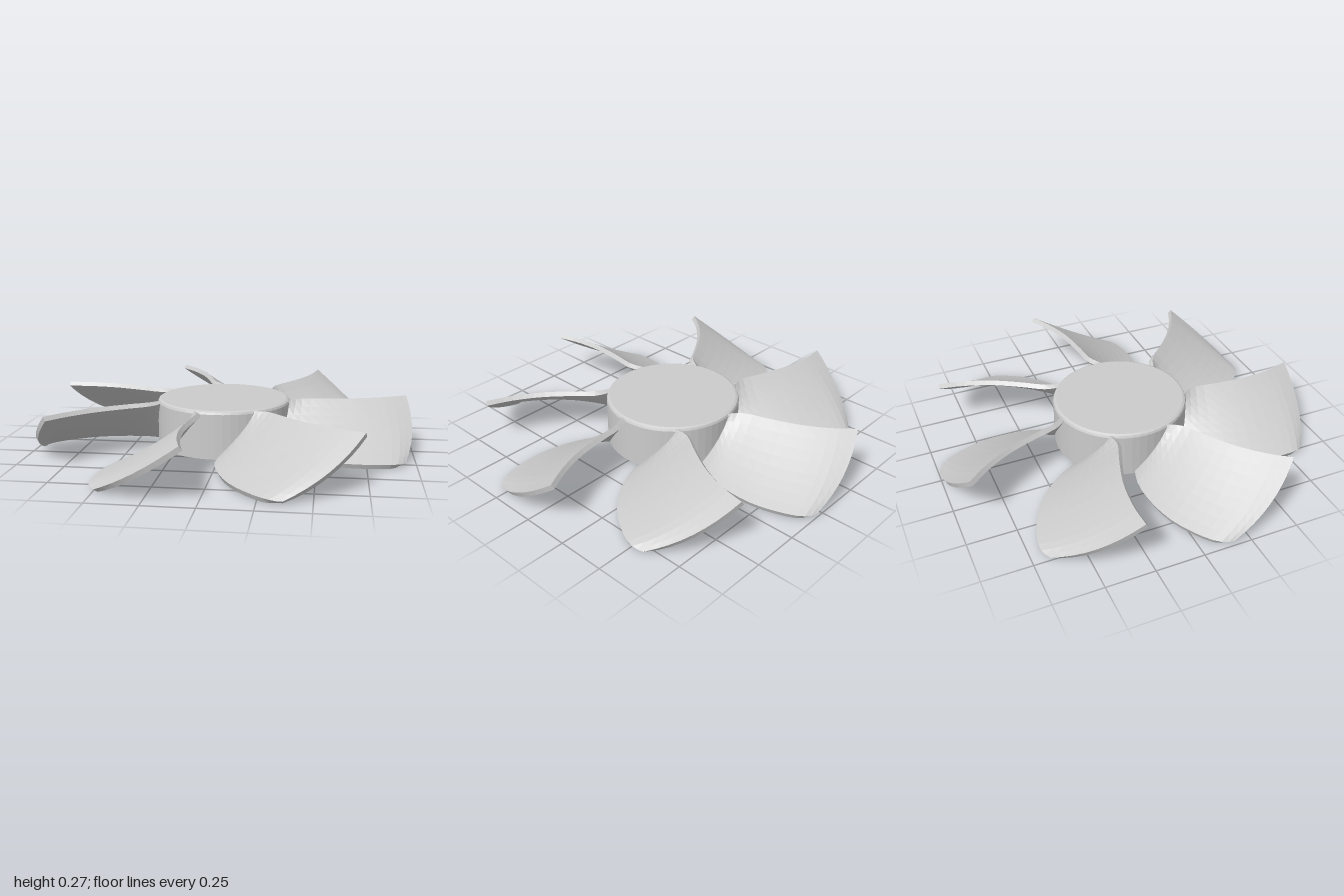
import * as THREE from 'three';

const BLADES = 7, SPAN = 14, CHORD = 8, THICK = 0.026, TOP = 0.275;

// Plan outlines (x outward, z across) of the raised and lowered blade edges
const plan = pts => new THREE.CatmullRomCurve3(pts.map(([x, z]) => new THREE.Vector3(x, 0, z)));
const highEdge = plan([[0.33, 0.03], [0.41, -0.015], [0.55, -0.03], [0.71, -0.055], [0.86, -0.105], [0.975, -0.165]]);
const lowEdge = plan([[0.27, 0.18], [0.37, 0.27], [0.5, 0.33], [0.65, 0.363], [0.8, 0.355], [0.9, 0.325], [0.945, 0.27]]);

// Middle surface of a blade: u runs root to tip, v from high edge to low edge
function surface(u, v) {
  const p = highEdge.getPoint(u).lerp(lowEdge.getPoint(u), v);
  const bow = 4 * v * (1 - v);
  p.x += 0.035 * bow * u * u;
  p.y = THREE.MathUtils.lerp(0.265, 0.03 - 0.016 * u, v) - 0.018 * bow;
  return p;
}

function surfaceNormal(u, v) {
  const e = 0.01;
  const u0 = Math.max(u - e, 0), u1 = Math.min(u + e, 1);
  const v0 = Math.max(v - e, 0), v1 = Math.min(v + e, 1);
  const du = surface(u1, v).sub(surface(u0, v));
  const dv = surface(u, v1).sub(surface(u, v0));
  return dv.cross(du).normalize();
}

// Closed cross-sections joined from root to tip, with a cap at the tip
function bladeGeometry() {
  const pos = [], index = [], ring = 2 * (CHORD + 1);
  for (let i = 0; i <= SPAN; i++) {
    for (let j = 0; j < ring; j++) {
      const upper = j <= CHORD;
      const u = i / SPAN, v = (upper ? j : ring - 1 - j) / CHORD;
      const p = surface(u, v).addScaledVector(surfaceNormal(u, v), (upper ? 0.5 : -0.5) * THICK);
      pos.push(p.x, THREE.MathUtils.clamp(p.y, 0, TOP), p.z);
    }
  }
  const quad = (a, b, c, d) => index.push(a, b, c, a, c, d);
  for (let i = 0; i < SPAN; i++) {
    for (let j = 0; j < ring; j++) {
      const k = (j + 1) % ring, s = i * ring, t = s + ring;
      quad(s + j, s + k, t + k, t + j);
    }
  }
  const tip = SPAN * ring;
  for (let j = 0; j < CHORD; j++) quad(tip + j, tip + j + 1, tip + ring - 2 - j, tip + ring - 1 - j);

  const geo = new THREE.BufferGeometry();
  geo.setAttribute('position', new THREE.Float32BufferAttribute(pos, 3));
  geo.setIndex(index);
  geo.computeVertexNormals();
  return geo;
}

export function createModel() {
  const model = new THREE.Group();
  model.name = 'fanRotor';
  const material = new THREE.MeshStandardMaterial({ color: 0xcccccc, flatShading: true });

  // Solid hub with a small bevel round the top
  const profile = [[0, 0.025], [0.355, 0.025], [0.355, 0.258], [0.35, 0.269], [0.338, TOP], [0, TOP]];
  const hub = new THREE.Mesh(new THREE.LatheGeometry(profile.map(([r, y]) => new THREE.Vector2(r, y)), 56), material);
  hub.name = 'hub';
  model.add(hub);

  // Swept, pitched blades spaced evenly round the hub
  const geometry = bladeGeometry();
  for (let k = 0; k < BLADES; k++) {
    const blade = new THREE.Mesh(geometry, material);
    blade.name = `blade${k + 1}`;
    blade.rotation.y = (k / BLADES) * Math.PI * 2;
    model.add(blade);
  }

  // Centre the uneven blade spread on the origin
  model.children.forEach(part => part.position.set(-0.01, 0, -0.005));
  return model;
}
